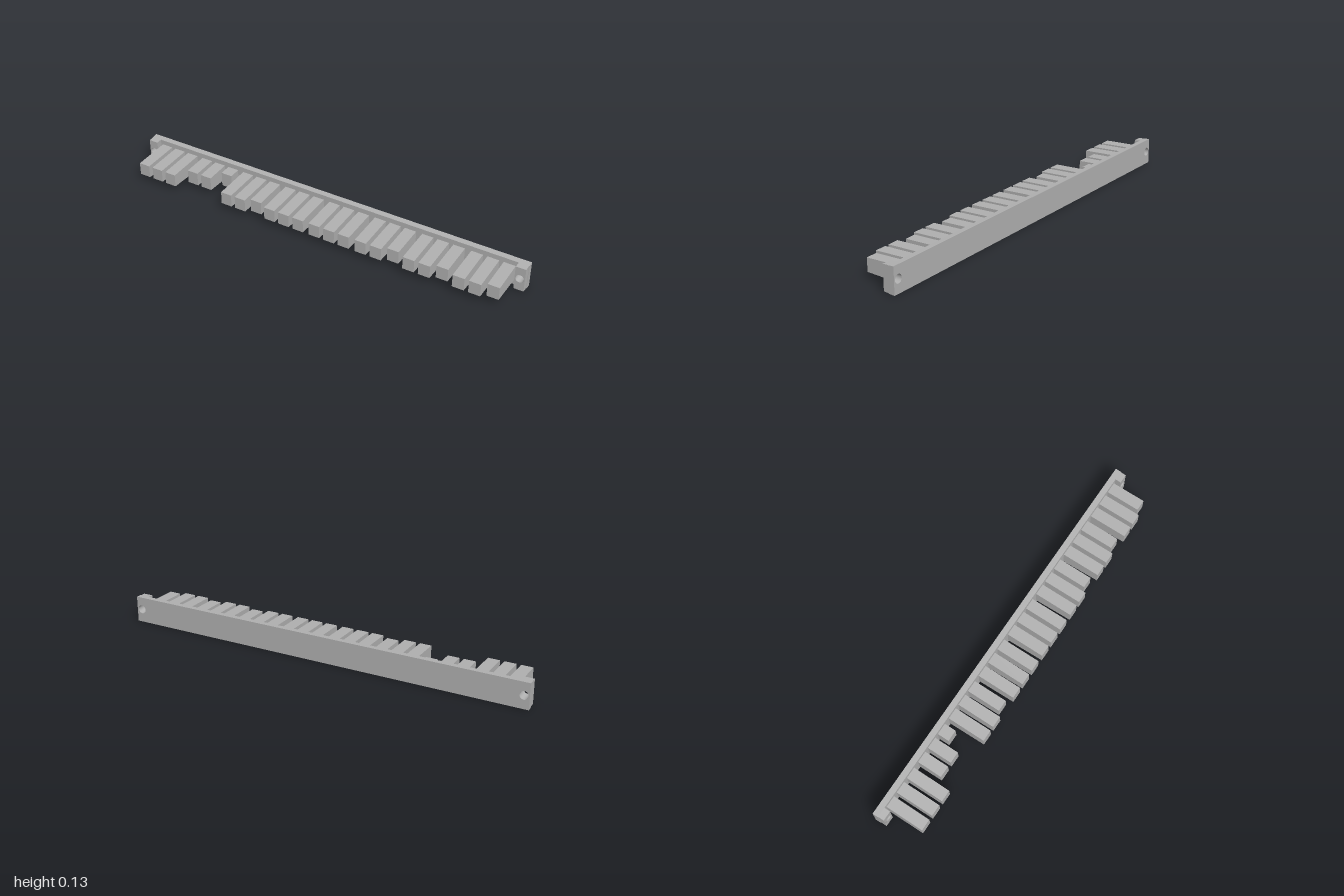
import * as THREE from 'three';

const BACK = -0.107, PLATE = -0.079, PAD = -0.05, FRONT = 0.107, MID = 0.063;

// Scale heights about the centre line so the part narrows towards the front
function taper(geometry, heightAt) {
  const p = geometry.attributes.position;
  for (let i = 0; i < p.count; i++) p.setY(i, MID + p.getY(i) * heightAt(p.getZ(i)));
  geometry.computeVertexNormals();
  return geometry;
}
const barHalf = z => 0.063 - 0.004 * (z - BACK) / (PAD - BACK);
const toothHalf = z => 0.0375 - 0.0065 * (z - PLATE) / (FRONT - PLATE);

// Flat slab with round screw holes, unit half height before tapering
function slab(x0, x1, z0, z1, holes) {
  const shape = new THREE.Shape();
  shape.moveTo(x0, -1);
  shape.lineTo(x1, -1);
  shape.lineTo(x1, 1);
  shape.lineTo(x0, 1);
  shape.closePath();
  for (const x of holes) {
    const hole = new THREE.Path();
    hole.absellipse(x, 0.02, 0.02, 0.02 / 0.061, 0, Math.PI * 2, true, 0);
    shape.holes.push(hole);
  }
  const g = new THREE.ExtrudeGeometry(shape, { depth: z1 - z0, bevelEnabled: false, curveSegments: 20 });
  g.translate(0, 0, z0);
  return taper(g, barHalf);
}

export function createModel() {
  const group = new THREE.Group();
  const grey = new THREE.MeshStandardMaterial({ color: 0xb0b0b0 });
  grey.name = 'grey';
  const add = (name, geometry) => {
    const mesh = new THREE.Mesh(geometry, grey);
    mesh.name = name;
    group.add(mesh);
  };

  // Long backing bar and the thicker pads around its screw holes
  add('backingBar', slab(-1, 1, BACK, PLATE, [-0.974, 0.974]));
  add('rightEndPad', slab(-0.998, -0.951, PLATE, PAD, [-0.974]));
  add('leftEndPad', slab(0.951, 0.998, PLATE, PAD, [0.974]));

  // Eight groups of three teeth; some are cut shorter
  const shortTips = { 3: 0.042, 4: 0.042, 5: -0.022, 8: 0.087, 17: 0.087, 20: 0.087, 23: 0.087 };
  for (let i = 0; i < 24; i++) {
    const x = -0.912 + Math.floor(i / 3) * 0.2388 + (i % 3) * 0.0763;
    const tip = shortTips[i] ?? FRONT;
    const root = PLATE - 0.005;
    const g = new THREE.BoxGeometry(0.056, 2, tip - root);
    g.translate(x, 0, (tip + root) / 2);
    add('tooth' + (i + 1), taper(g, toothHalf));
  }
  return group;
}
